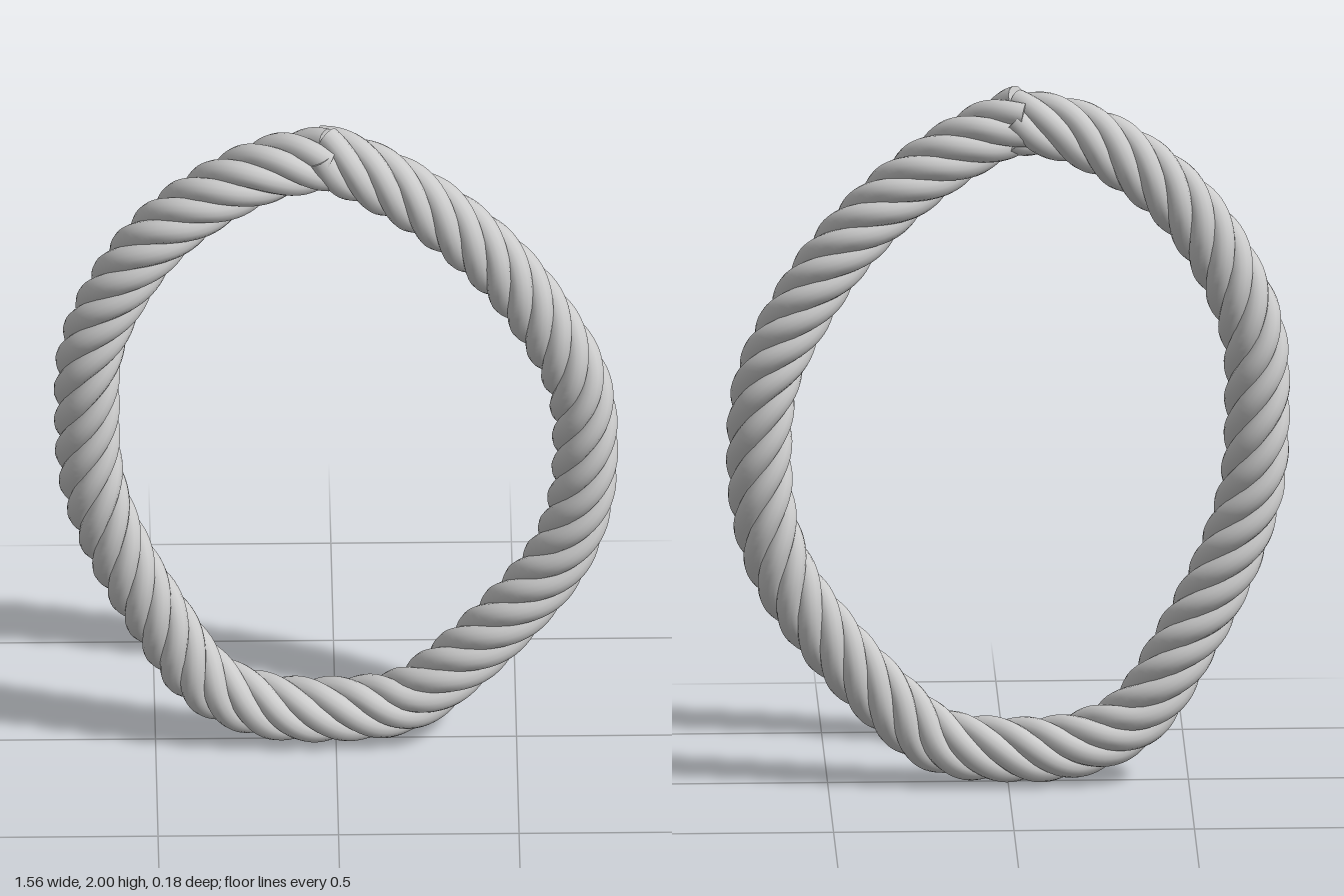
import * as THREE from 'three';

const STRANDS = 5;
const TURNS = 10;
const LAY_RADIUS = 0.057; // strand centre to rope centre
const STRAND_RADIUS = 0.035;

// Centre line of the loop, clockwise from the joint at the top
const path = new THREE.CatmullRomCurve3([
  [-0.05, 1.92], [0.11, 1.84], [0.28, 1.72], [0.455, 1.545], [0.585, 1.35], [0.67, 1.16],
  [0.69, 0.97], [0.675, 0.77], [0.615, 0.59], [0.485, 0.405], [0.335, 0.24],
  [0.195, 0.125], [0, 0.095], [-0.2, 0.11], [-0.355, 0.19], [-0.49, 0.4],
  [-0.605, 0.63], [-0.675, 0.85], [-0.69, 1.08], [-0.68, 1.28], [-0.615, 1.46],
  [-0.495, 1.65], [-0.335, 1.79], [-0.175, 1.875], [-0.015, 1.905],
].map(([x, y]) => new THREE.Vector3(x, y, -0.004)), false, 'centripetal');
path.arcLengthDivisions = 800;

// One strand: a helix wound around the centre line
class StrandCurve extends THREE.Curve {
  constructor(phase) {
    super();
    this.phase = phase;
    this.arcLengthDivisions = 800;
  }
  getPoint(t, target = new THREE.Vector3()) {
    const u = THREE.MathUtils.clamp(t, 0, 1);
    const tangent = path.getTangentAt(u);
    const normal = new THREE.Vector3(-tangent.y, tangent.x, 0);
    const binormal = new THREE.Vector3().crossVectors(tangent, normal);
    const angle = this.phase + u * TURNS * Math.PI * 2;
    return target.copy(path.getPointAt(u))
      .addScaledVector(normal, Math.cos(angle) * LAY_RADIUS)
      .addScaledVector(binormal, Math.sin(angle) * LAY_RADIUS);
  }
}

// Flat disc closing one end of a tube
function endCap(curve, t, radius, material) {
  const cap = new THREE.Mesh(new THREE.CircleGeometry(radius, 14), material);
  const outward = curve.getTangentAt(t).multiplyScalar(t === 0 ? -1 : 1);
  cap.position.copy(curve.getPointAt(t));
  cap.lookAt(cap.position.clone().add(outward));
  cap.name = t === 0 ? 'startCap' : 'endCap';
  return cap;
}

function cappedTube(name, curve, segments, radius, material) {
  const part = new THREE.Group();
  part.name = name;
  const tube = new THREE.Mesh(new THREE.TubeGeometry(curve, segments, radius, 14, false), material);
  tube.name = name + 'Tube';
  part.add(tube, endCap(curve, 0, radius, material), endCap(curve, 1, radius, material));
  return part;
}

export function createModel() {
  const model = new THREE.Group();
  model.name = 'ropeLoop';
  const material = new THREE.MeshStandardMaterial({ color: 0xcccccc });

  // Twisted strands around a hidden core
  for (let i = 0; i < STRANDS; i++) {
    const curve = new StrandCurve((i / STRANDS) * Math.PI * 2);
    model.add(cappedTube('strand' + (i + 1), curve, 400, STRAND_RADIUS, material));
  }
  model.add(cappedTube('core', path, 160, 0.045, material));
  return model;
}
